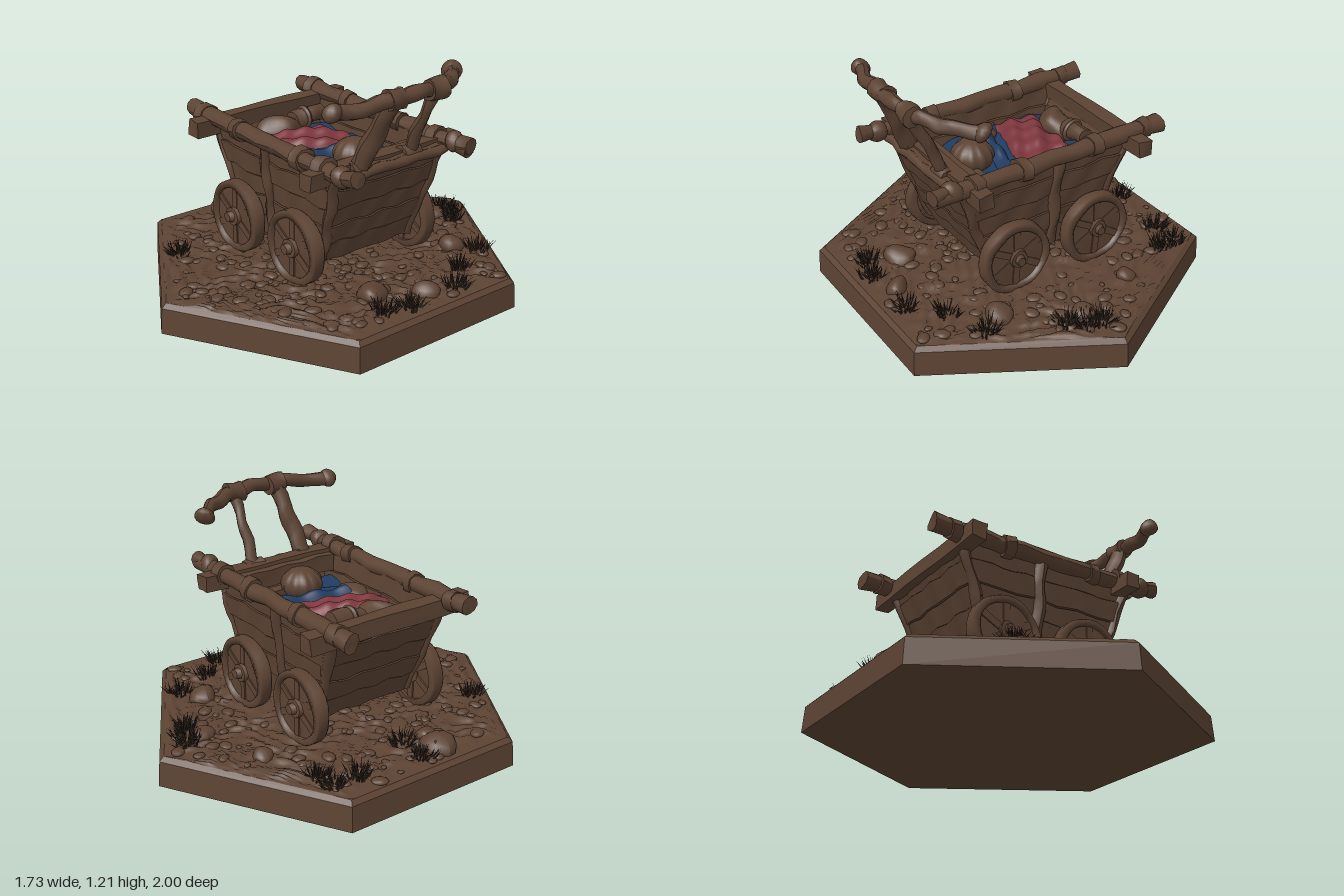
import * as THREE from 'three';
import { mergeGeometries } from 'three/addons/utils/BufferGeometryUtils.js';

const V = (x, y, z) => new THREE.Vector3(x, y, z);
const brown = new THREE.MeshStandardMaterial({ color: 0x5c4333, side: THREE.DoubleSide });
brown.name = 'earthBrown';
const red = new THREE.MeshStandardMaterial({ color: 0x7c363c, side: THREE.DoubleSide });
red.name = 'clothRed';
const blue = new THREE.MeshStandardMaterial({ color: 0x213c62, side: THREE.DoubleSide });
blue.name = 'clothBlue';
const dark = new THREE.MeshStandardMaterial({ color: 0x35281e, side: THREE.DoubleSide });
dark.name = 'dryGrass';

let seed = 7;
const rnd = () => (seed = (seed * 16807) % 2147483647) / 2147483647;
const range = (a, b) => a + (b - a) * rnd();

// Move every vertex by a rule, then refresh the normals
function deform(geo, rule) {
  const p = geo.attributes.position, v = V(0, 0, 0);
  for (let i = 0; i < p.count; i++) {
    v.fromBufferAttribute(p, i);
    rule(v);
    p.setXYZ(i, v.x, v.y, v.z);
  }
  geo.computeVertexNormals();
  return geo;
}
// Smooth hand-carved unevenness
const rough = (geo, a = 0.006, f = 23) => deform(geo, v => {
  const { x, y, z } = v;
  v.x += a * Math.sin(f * y + 1.7 * f * z + 1);
  v.y += a * Math.sin(f * x + 1.3 * f * z);
  v.z += a * Math.sin(1.4 * f * x + f * y + 2);
});

function add(parent, name, geo, mat = brown) {
  const mesh = new THREE.Mesh(geo, mat);
  mesh.name = name;
  parent.add(mesh);
  return mesh;
}
// Straight round timber between two points
function log(a, b, r0, r1 = r0, sides = 10) {
  const d = b.clone().sub(a), g = new THREE.CylinderGeometry(r1, r0, d.length(), sides, 10);
  g.applyQuaternion(new THREE.Quaternion().setFromUnitVectors(V(0, 1, 0), d.normalize()));
  g.translate((a.x + b.x) / 2, (a.y + b.y) / 2, (a.z + b.z) / 2);
  return rough(g);
}
const box = (w, h, d, x, y, z) => rough(new THREE.BoxGeometry(w, h, d, 6, 3, 6).translate(x, y, z), 0.004);
const ball = (r, x, y, z, sy = 1) => rough(new THREE.SphereGeometry(r, 14, 10).scale(1, sy, 1).translate(x, y, z), 0.007);

// Half sizes of the flared cart body at height y
const halfX = y => 0.3 + (y - 0.27) * 0.35;
const halfZ = y => 0.27 + (y - 0.27) * 0.11;

function createBase(root) {
  const base = new THREE.Group();
  base.name = 'base';
  const side = (r0, r1, y0, y1, cap) => {
    const g = new THREE.CylinderGeometry(r1, r0, y1 - y0, 6, 1, !cap).translate(0, (y0 + y1) / 2, 0).toNonIndexed();
    g.computeVertexNormals();
    return g;
  };
  add(base, 'slab', side(1, 0.99, 0, 0.13, true));
  add(base, 'slabBevel', side(0.99, 0.965, 0.13, 0.152, false));
  // Uneven soil filling the hexagon
  const soil = new THREE.PlaneGeometry(2, 2, 90, 90).rotateX(-Math.PI / 2);
  add(base, 'soil', deform(soil, v => {
    const edge = Math.min(1, 8 * Math.min(1 - Math.abs(v.x), 1 - Math.abs(v.z)));
    v.z *= 0.965;
    v.x *= Math.min(0.8357, (0.965 - Math.abs(v.z)) * 1.732);
    v.y = 0.152 + edge * (0.008 + 0.007 * Math.sin(31 * v.x + 9 * Math.sin(13 * v.z)) + 0.006 * Math.sin(47 * v.z + 6 * Math.sin(19 * v.x)));
  }));
  // Pebbles
  const pebbles = [];
  while (pebbles.length < 230) {
    const x = range(-0.8, 0.8), z = range(-0.92, 0.92), s = range(0.012, 0.034);
    if (Math.abs(z) + Math.abs(x) / 1.732 > 0.92) continue;
    pebbles.push(new THREE.IcosahedronGeometry(s, 1).scale(1.3, 0.5, 1).rotateY(range(0, 6)).translate(x, 0.16, z));
  }
  add(base, 'pebbles', mergeGeometries(pebbles));
  // Larger stones
  [[-0.72, 0.13, 0.09], [-0.6, 0.16, 0.06], [0.4, -0.51, 0.07], [0.56, 0.17, 0.08], [-0.3, -0.6, 0.05], [0.05, -0.72, 0.06], [0.7, -0.05, 0.06]]
    .forEach(([x, z, r]) => add(base, 'stone', ball(r, x, 0.165, z, 0.75)));
  // Grass tufts
  const blades = [];
  [[-0.7, -0.48], [-0.6, -0.5], [-0.7, -0.34], [0.02, -0.82], [0.17, -0.75], [0.1, -0.8], [0.52, -0.58], [0.6, -0.36], [0.74, -0.2],
    [0.76, 0.1], [0.71, 0.23], [-0.74, 0.02], [-0.58, 0.02], [-0.4, 0.64]].forEach(([x, z]) => {
    for (let i = 0; i < 45; i++) {
      const a = range(0, 6.28), d = range(0, 0.055);
      blades.push(new THREE.ConeGeometry(0.0055, range(0.05, 0.095), 3).translate(0, 0.035, 0)
        .rotateX(range(0.1, 0.9)).rotateY(a).translate(x + d * Math.sin(a), 0.155, z + d * Math.cos(a)));
    }
  });
  add(base, 'grass', mergeGeometries(blades), dark);
  root.add(base);
}

// One side plank ring level: box mapped between two heights of the flared body
function plank(axis, sign, y0, y1, t) {
  return rough(deform(new THREE.BoxGeometry(2, 1, 1, 14, 2, 1), v => {
    const y = y0 + (v.y + 0.5) * (y1 - y0), u = v.x, off = v.z * t;
    if (axis === 'z') v.set(u * sign * halfX(y), y, sign * (halfZ(y) + off));
    else v.set(sign * (halfX(y) + off), y, -u * sign * halfZ(y));
  }), 0.005);
}

function createBody(root) {
  const body = new THREE.Group();
  body.name = 'cartBody';
  const levels = [0.27, 0.38, 0.49, 0.59, 0.7, 0.8];
  for (let i = 0; i < 5; i++) for (const axis of ['x', 'z']) for (const s of [-1, 1])
    add(body, 'plank', plank(axis, s, levels[i] + 0.002, levels[i + 1] - 0.003, 0.03 + 0.012 * (i % 2)));
  add(body, 'floor', box(0.6, 0.03, 0.54, 0, 0.285, 0));
  // Corner posts and upright battens
  for (const sx of [-1, 1]) for (const sz of [-1, 1])
    add(body, 'cornerPost', log(V(sx * halfX(0.28), 0.28, sz * halfZ(0.28)), V(sx * halfX(0.8), 0.8, sz * halfZ(0.8)), 0.026, 0.03, 6));
  for (const s of [-1, 1]) add(body, 'batten', log(V(-0.05, 0.29, s * 0.29), V(-0.05, 0.79, s * 0.345), 0.03, 0.032, 6));
  // Top rails with collars and knobbed ends
  for (const s of [-1, 1]) {
    const z = s * 0.35, end = s > 0 ? 0.56 : 0.65;
    add(body, 'sideRail', log(V(-0.66, 0.815, z), V(end, 0.805, z), 0.047, 0.04));
    for (const x of [-0.55, -0.25, s > 0 ? 0.25 : 0.16, 0.42])
      add(body, 'railCollar', log(V(x - 0.028, 0.81, z), V(x + 0.028, 0.81, z), 0.056));
    add(body, 'railKnob', ball(0.052, 0.55, 0.815, z));
    add(body, 'railEnd', log(V(0.58, 0.82, z), V(0.655, 0.825, z), 0.036, 0.042));
  }
  add(body, 'rearCrossBeam', box(0.08, 0.085, 0.95, -0.48, 0.775, 0));
  add(body, 'frontCrossBeam', box(0.08, 0.08, 0.93, 0.43, 0.775, 0));
  add(body, 'innerLedge', box(0.045, 0.09, 0.6, 0.37, 0.75, 0));
  add(body, 'outerCrossRod', log(V(0.5, 0.77, -0.34), V(0.5, 0.77, 0.34), 0.026));
  root.add(body);
}

function createHandle(root) {
  const handle = new THREE.Group();
  handle.name = 'pushHandle';
  const pts = [V(0.43, 1.13, -0.43), V(0.54, 1.135, -0.32), V(0.62, 1.15, -0.14), V(0.645, 1.155, 0.1), V(0.625, 1.14, 0.28), V(0.58, 1.13, 0.43)];
  add(handle, 'gripBar', rough(new THREE.TubeGeometry(new THREE.CatmullRomCurve3(pts), 30, 0.036, 10)));
  for (const p of [pts[0], pts[5]]) add(handle, 'gripEnd', ball(0.046, p.x, p.y, p.z));
  [[0.19, 0.12, 0.046], [-0.13, -0.135, 0.03]].forEach(([z0, z1, r]) => {
    add(handle, 'post', log(V(0.44, 0.74, z0), V(0.64, 1.17, z1), r, r * 0.95, 8));
    add(handle, 'postBinding', log(V(0.63, 1.15, z1 - 0.045), V(0.63, 1.15, z1 + 0.045), 0.052));
    add(handle, 'postFoot', log(V(0.465, 0.78, z0 - 0.05), V(0.465, 0.78, z0 + 0.05), 0.045));
  });
  root.add(handle);
}

function createWheels(root) {
  const ringProfile = [[0.152, -0.036], [0.183, -0.036], [0.19, -0.025], [0.19, 0.025], [0.183, 0.036], [0.152, 0.036], [0.152, -0.036]];
  for (const x of [-0.27, 0.21]) {
    add(root, 'axle', log(V(x, 0.34, -0.36), V(x, 0.34, 0.36), 0.035));
    for (const s of [-1, 1]) {
      const wheel = new THREE.Group();
      wheel.name = 'wheel';
      const rim = new THREE.LatheGeometry(ringProfile.map(p => new THREE.Vector2(...p)), 32).rotateX(Math.PI / 2);
      add(wheel, 'rim', rough(rim, 0.003));
      add(wheel, 'disc', rough(new THREE.CylinderGeometry(0.156, 0.156, 0.04, 28, 1).rotateX(Math.PI / 2), 0.003));
      for (let i = 0; i < 3; i++) {
        const g = new THREE.BoxGeometry(0.3, 0.036, 0.054, 6, 1, 1).rotateZ(0.5 + i * Math.PI / 3);
        add(wheel, 'spoke', rough(g, 0.002));
      }
      add(wheel, 'hub', log(V(0, 0, -0.03), V(0, 0, 0.045), 0.055, 0.046, 12));
      add(wheel, 'hubCap', log(V(0, 0, 0.04), V(0, 0, 0.068), 0.03, 0.024, 8));
      wheel.position.set(x, 0.34, s * 0.355);
      if (s < 0) wheel.rotation.y = Math.PI;
      root.add(wheel);
    }
  }
}

// Draped sheet between four ground-plan corners [x, z]
function drape(c, rule) {
  const mix = (a, b, t) => a + (b - a) * t;
  return deform(new THREE.PlaneGeometry(1, 1, 36, 36).rotateX(-Math.PI / 2), v => {
    const u = v.x + 0.5, w = v.z + 0.5;
    const at = k => mix(mix(c[0][k], c[1][k], u), mix(c[3][k], c[2][k], u), w);
    v.set(at(0), rule(u, w), at(1));
  });
}

function createCargo(root) {
  const cargo = new THREE.Group();
  cargo.name = 'cargo';
  add(cargo, 'blueBlanket', drape([[-0.41, -0.3], [0.37, -0.3], [0.37, 0.3], [-0.41, 0.3]], (u, w) =>
    0.66 + 0.035 * Math.sin(Math.PI * u) * Math.sin(Math.PI * w) + 0.012 * Math.sin(22 * u + 5 * w)), blue);
  add(cargo, 'redBlanket', drape([[-0.25, -0.18], [0.07, -0.2], [-0.08, 0.28], [-0.31, 0.21]], (u, w) =>
    0.695 + 0.06 * Math.sqrt(Math.sin(Math.PI * u) * Math.sin(Math.PI * w) + 0.01) + 0.013 * Math.sin(13 * u + 6 * w) + 0.006 * Math.sin(25 * w - 9 * u)), red);
  add(cargo, 'blueFold', drape([[0.08, -0.22], [0.16, -0.23], [0.1, 0.13], [-0.01, 0.17]], (u, w) =>
    0.69 + 0.05 * Math.sin(Math.PI * u) + 0.01 * Math.sin(14 * w)), blue);
  // Ridged round sack
  add(cargo, 'roundSack', deform(new THREE.SphereGeometry(0.105, 40, 16), v => {
    const k = 1 + 0.05 * Math.sin(11 * Math.atan2(v.z, v.x));
    v.set(0.22 + v.x * k, 0.74 + v.y * 0.8, v.z * k);
  }));
  // Tied sack with gathered neck
  add(cargo, 'tiedSack', rough(new THREE.SphereGeometry(0.1, 18, 14).scale(0.85, 0.75, 1.25).translate(-0.32, 0.72, 0.05), 0.01));
  add(cargo, 'sackNeck', log(V(-0.32, 0.75, -0.04), V(-0.31, 0.77, -0.21), 0.05, 0.045));
  add(cargo, 'sackTie', rough(new THREE.TorusGeometry(0.05, 0.012, 8, 20).translate(-0.315, 0.757, -0.1), 0.003));
  add(cargo, 'smallSack', rough(new THREE.SphereGeometry(0.07, 16, 12).scale(1.3, 0.5, 0.8).rotateY(0.5).translate(0.04, 0.705, 0.19)));
  add(cargo, 'looseBoard', box(0.07, 0.03, 0.34, 0.28, 0.7, -0.12));
  root.add(cargo);
}

export function createModel() {
  const root = new THREE.Group();
  root.name = 'handcart';
  createBase(root);
  createBody(root);
  createHandle(root);
  createWheels(root);
  createCargo(root);
  return root;
}
